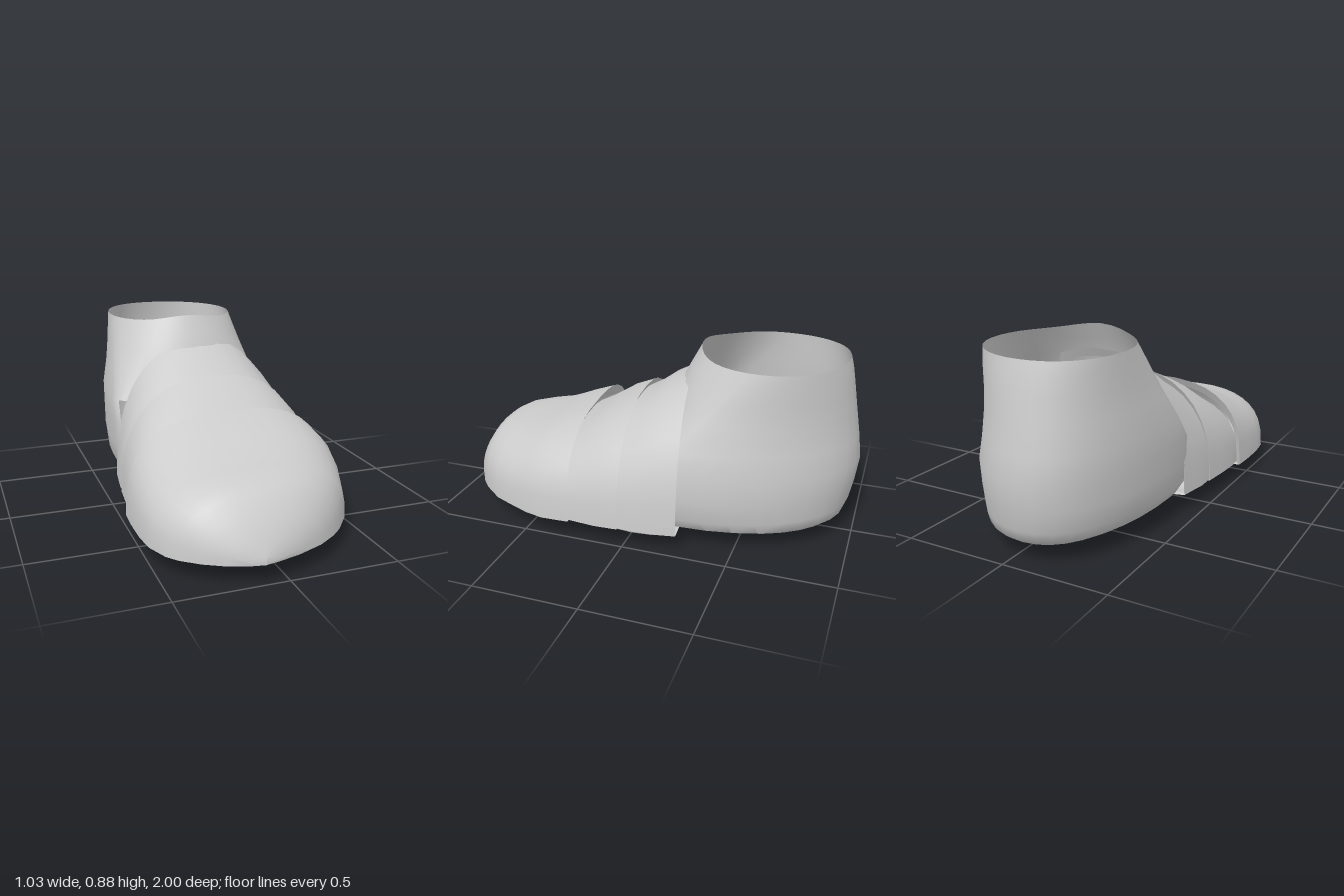
import * as THREE from 'three';
import { toCreasedNormals } from 'three/addons/utils/BufferGeometryUtils.js';

const N = 36; // points around each cross-section

// Power curve used to square off a circle (n = 2 is round)
const sq = (v, n) => Math.sign(v) * Math.pow(Math.abs(v), 2 / n);

// Skin a list of closed cross-sections; skip(a, b) leaves out quads between two points
function loft(rings, skip = () => false) {
  const index = [];
  for (let i = 0; i < rings.length - 1; i++) {
    for (let j = 0; j < N; j++) {
      const k = (j + 1) % N;
      if (skip(rings[i][j], rings[i][k])) continue;
      const a = i * N + j, b = i * N + k, c = b + N, d = a + N;
      index.push(a, b, c, a, c, d);
    }
  }
  const g = new THREE.BufferGeometry().setFromPoints(rings.flat());
  g.setIndex(index);
  return toCreasedNormals(g, 0.7);
}

// Upright section across the foot: arched above a sharp lower edge, sagging sole below
function archSection([z, left, right, top, bottom, n, slant = 0]) {
  const cx = (left + right) / 2, w = (right - left) / 2, edge = 0.092;
  return Array.from({ length: N }, (_, j) => {
    const t = (j / N) * Math.PI * 2, s = Math.sin(t), up = s >= 0;
    const x = cx + w * sq(Math.cos(t), up ? n : 2);
    const y = edge + (up ? (top - edge) * sq(s, n) : (edge - bottom) * s);
    return new THREE.Vector3(x, y, z - slant * x);
  });
}

// Level ring around heel and ankle: round back, front squared by n, raised by lift
function heelRing([y, cx, w, zc, back, front, lean, n = 2, lift = 0]) {
  return Array.from({ length: N }, (_, j) => {
    const t = (j / N) * Math.PI * 2, s = Math.sin(t), p = s > 0 ? 2.1 : n;
    const z = s > 0 ? zc + (back - zc) * sq(s, p) : zc - (front - zc) * sq(s, p);
    const x = cx + w * sq(Math.cos(t), p) + lean * Math.max(s, 0) ** 2;
    return new THREE.Vector3(x, y + lift * Math.max(-s, 0) ** 8, z);
  });
}

export function createModel() {
  const grey = new THREE.MeshStandardMaterial({ color: 0xcccccc, side: THREE.DoubleSide });
  grey.name = 'plain grey';
  const model = new THREE.Group();
  model.name = 'shoe';
  const add = (name, geometry) => {
    const mesh = new THREE.Mesh(geometry, grey);
    mesh.name = name;
    model.add(mesh);
  };

  // Rounded toe, with its rear rim folded inward
  add('toeCap', loft([
    [0.33, -0.49, 0.485, 0.485, 0.09, 2.7, 0.07],
    [0.305, -0.515, 0.51, 0.525, 0.088, 2.8, 0.07],
    [0.42, -0.52, 0.515, 0.485, 0.06, 2.8, 0.03],
    [0.5, -0.52, 0.49, 0.452, 0.045, 2.8],
    [0.6, -0.518, 0.45, 0.41, 0.06, 2.8],
    [0.7, -0.505, 0.405, 0.39, 0.08, 2.7],
    [0.8, -0.465, 0.325, 0.37, 0.088, 2.5],
    [0.85, -0.425, 0.27, 0.345, 0.09, 2.4],
    [0.91, -0.35, 0.18, 0.27, 0.09, 2.3],
    [0.96, -0.26, 0.06, 0.195, 0.09, 2.2],
    [0.99, -0.17, -0.05, 0.125, 0.09, 2],
    [1.0, -0.112, -0.108, 0.1, 0.091, 2],
  ].map(archSection)));

  // Band dipping under the toe cap
  add('frontBand', loft([
    [0.07, -0.445, 0.47, 0.585, 0.09, 2.4, 0.04],
    [0.045, -0.468, 0.5, 0.63, 0.085, 2.4, 0.04],
    [0.16, -0.48, 0.505, 0.575, 0.088, 2.5, 0.05],
    [0.28, -0.488, 0.495, 0.49, 0.07, 2.6, 0.06],
    [0.37, -0.48, 0.48, 0.44, 0.055, 2.6, 0.06],
  ].map(archSection)));

  // Band between the front band and the ankle
  add('rearBand', loft([
    [-0.18, -0.42, 0.445, 0.715, 0.088, 2.3, 0.1],
    [-0.205, -0.437, 0.47, 0.76, 0.08, 2.3, 0.1],
    [-0.1, -0.45, 0.49, 0.705, 0.055, 2.3, 0.07],
    [-0.02, -0.46, 0.495, 0.645, 0.04, 2.35, 0.05],
    [0.09, -0.46, 0.488, 0.58, 0.085, 2.4, 0.04],
  ].map(archSection)));

  // Heel and open ankle; the low front is open where the bands cover it
  add('heelAndAnkle', loft([
    [0.003, 0.03, 0.001, -0.55, -0.551, -0.549, 0],
    [0.045, 0.01, 0.22, -0.42, -0.76, -0.28, -0.02],
    [0.075, 0.0, 0.34, -0.32, -0.91, -0.2, -0.04, 2.5],
    [0.1, 0.0, 0.395, -0.24, -0.945, -0.08, -0.05, 4],
    [0.15, 0.0, 0.42, -0.2, -0.965, -0.05, -0.06, 4],
    [0.25, 0.0, 0.43, -0.2, -0.985, -0.05, -0.07, 4],
    [0.37, 0.0, 0.43, -0.2, -1.0, -0.05, -0.07, 4],
    [0.48, -0.014, 0.413, -0.25, -0.985, -0.12, -0.065, 2.8],
    [0.6, -0.022, 0.374, -0.36, -0.965, -0.11, -0.05, 2.2],
    [0.72, -0.024, 0.35, -0.46, -0.945, -0.15, -0.04],
    [0.8, -0.025, 0.335, -0.53, -0.93, -0.19, -0.035],
    [0.857, -0.026, 0.325, -0.57, -0.915, -0.235, -0.03, 2, 0.028],
  ].map(heelRing), (a, b) => a.y > 0.09 && a.y < 0.45 && Math.min(a.z, b.z) > -0.13));

  return model;
}
